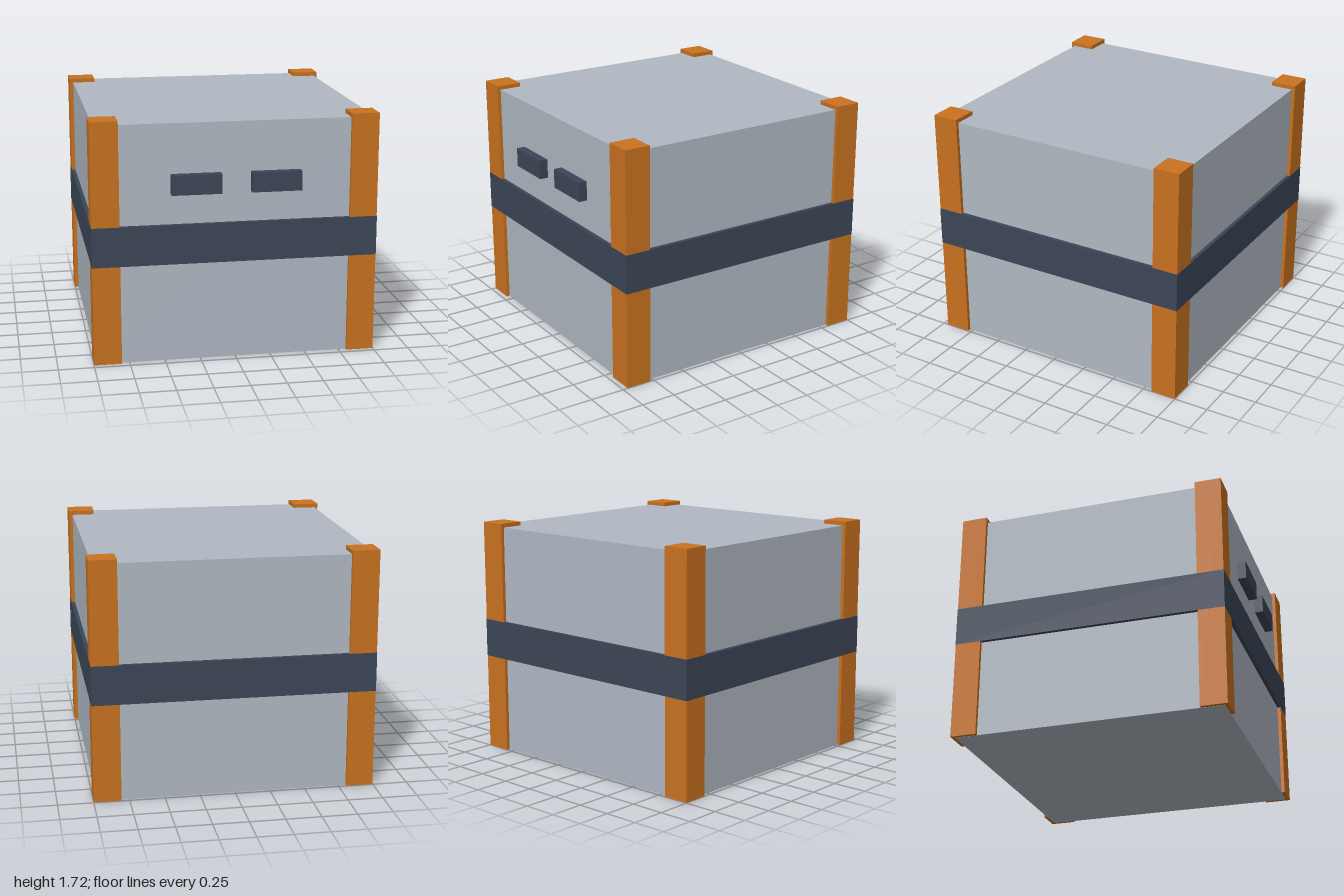
import * as THREE from 'three';

export function createModel() {
  const model = new THREE.Group();
  model.name = 'storageCrate';

  const material = (name, color) => {
    const m = new THREE.MeshStandardMaterial({ color });
    m.name = name;
    return m;
  };
  const panelGrey = material('panelGrey', 0xb0b8c2);
  const postOrange = material('postOrange', 0xc97220);
  const darkSlate = material('darkSlate', 0x3c4657);

  // Box given by its lower and upper corners
  const box = (name, mat, [x0, y0, z0], [x1, y1, z1]) => {
    const mesh = new THREE.Mesh(new THREE.BoxGeometry(x1 - x0, y1 - y0, z1 - z0), mat);
    mesh.position.set((x0 + x1) / 2, (y0 + y1) / 2, (z0 + z1) / 2);
    mesh.name = name;
    model.add(mesh);
  };

  // Main body and the band around it
  box('body', panelGrey, [-0.972, 0, -0.974], [0.972, 1.688, 0.938]);
  box('band', darkSlate, [-1, 0.705, -1], [1, 0.985, 0.965]);

  // Corner posts, set a hair inside the band so their faces do not coincide
  const inset = 0.0015;
  const postWidth = 0.193;
  const outer = 1 - inset;
  const depths = { back: [-outer, -0.811], front: [0.775, 0.965 - inset] };
  for (const [end, [z0, z1]] of Object.entries(depths)) {
    box(`${end}LeftPost`, postOrange, [outer - postWidth, 0.001, z0], [outer, 1.717, z1]);
    box(`${end}RightPost`, postOrange, [-outer, 0.001, z0], [-outer + postWidth, 1.717, z1]);
  }

  // Pair of latches on the front
  box('leftLatch', darkSlate, [0.104, 1.2, 0.93], [0.452, 1.338, 1]);
  box('rightLatch', darkSlate, [-0.452, 1.2, 0.93], [-0.104, 1.338, 1]);

  return model;
}
